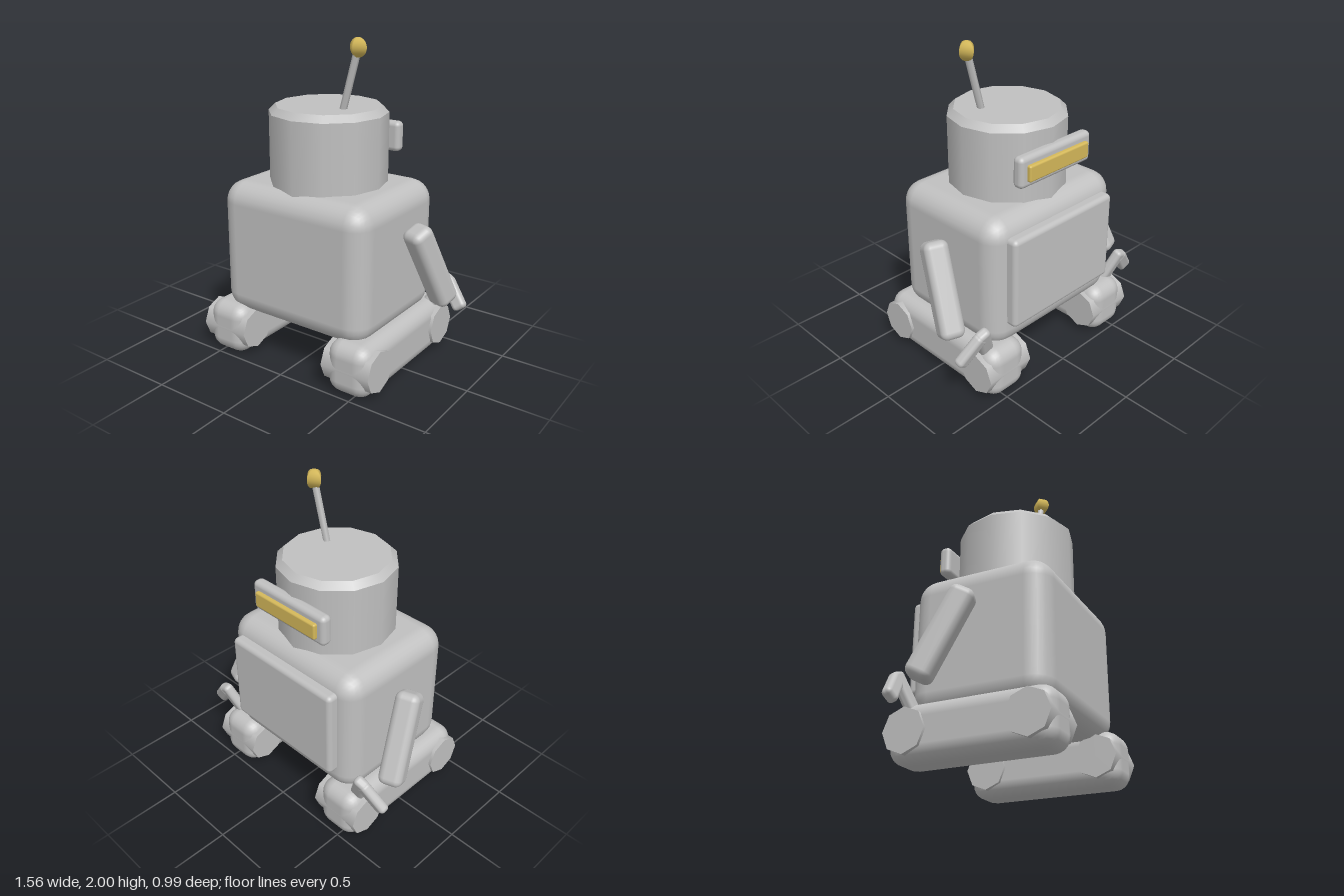
import * as THREE from 'three';
import { RoundedBoxGeometry } from 'three/addons/geometries/RoundedBoxGeometry.js';

export function createModel() {
  const grey = new THREE.MeshStandardMaterial({ color: 0xc0c0c0 });
  grey.name = 'grey metal';
  const yellow = new THREE.MeshStandardMaterial({ color: 0xd4b85a });
  yellow.name = 'yellow lamp';

  const robot = new THREE.Group();
  robot.name = 'robot';

  const add = (name, geometry, x, y, z, material = grey) => {
    const mesh = new THREE.Mesh(geometry, material);
    mesh.name = name;
    mesh.position.set(x, y, z);
    robot.add(mesh);
    return mesh;
  };
  const roundBox = (w, h, d, r) => new RoundedBoxGeometry(w, h, d, 3, r);

  // Rounded bar running between two points; up sets its roll
  const bar = (name, from, to, w, h, r, up) => {
    const a = new THREE.Vector3(...from), b = new THREE.Vector3(...to);
    const mid = a.clone().add(b).multiplyScalar(0.5);
    const mesh = add(name, roundBox(w, h, a.distanceTo(b), r), mid.x, mid.y, mid.z);
    mesh.up.set(...up);
    mesh.lookAt(b);
    return mesh;
  };

  // Body and panel
  add('body', roundBox(1.05, 0.85, 0.85, 0.13), 0, 0.695, 0);
  add('chestPanel', roundBox(0.84, 0.58, 0.12, 0.03), 0, 0.73, -0.425);

  // Twelve-sided head with a bevelled top
  add('head', new THREE.CylinderGeometry(0.362, 0.362, 0.495, 12), 0, 1.2975, 0);
  add('headBevel', new THREE.CylinderGeometry(0.322, 0.362, 0.04, 12), 0, 1.565, 0);

  // Visor with its lamp
  add('visor', roundBox(0.585, 0.19, 0.075, 0.03), 0, 1.355, -0.363);
  add('visorLamp', roundBox(0.49, 0.1, 0.05, 0.012), 0, 1.352, -0.4, yellow);

  // Leaning antenna
  const foot = new THREE.Vector3(0.145, 1.56, 0.065);
  const tip = new THREE.Vector3(0.25, 1.943, 0.065);
  const rod = add('antennaRod', new THREE.CylinderGeometry(0.022, 0.022, foot.distanceTo(tip), 6),
    (foot.x + tip.x) / 2, (foot.y + tip.y) / 2, foot.z);
  rod.rotation.z = -Math.atan2(tip.x - foot.x, tip.y - foot.y);
  add('antennaBall', new THREE.SphereGeometry(0.057, 4, 12), tip.x, tip.y, tip.z, yellow);

  for (const s of [1, -1]) {
    const side = s > 0 ? 'left' : 'right';

    // Track with an eight-sided roller at each end
    add(side + 'Track', roundBox(0.29, 0.33, 0.98, 0.09), s * 0.46, 0.165, 0);
    for (const z of [0.363, -0.363]) {
      const roller = new THREE.CylinderGeometry(0.13, 0.13, 0.327, 8).rotateZ(Math.PI / 2);
      add(side + 'Roller', roller, s * 0.46, 0.168, z);
    }

    // Arm and two-fingered claw
    bar(side + 'Arm', [s * 0.613, 0.92, -0.01], [s * 0.697, 0.405, -0.25],
      0.15, 0.15, 0.045, [0, 1, 0]);
    const tilt = [0, 0.35, 1];
    bar(side + 'OuterFinger', [s * 0.62, 0.47, -0.422], [s * 0.755, 0.31, -0.37],
      0.09, 0.065, 0.025, tilt);
    bar(side + 'InnerFinger', [s * 0.63, 0.5, -0.43], [s * 0.535, 0.29, -0.36],
      0.09, 0.065, 0.025, tilt);
  }

  return robot;
}
